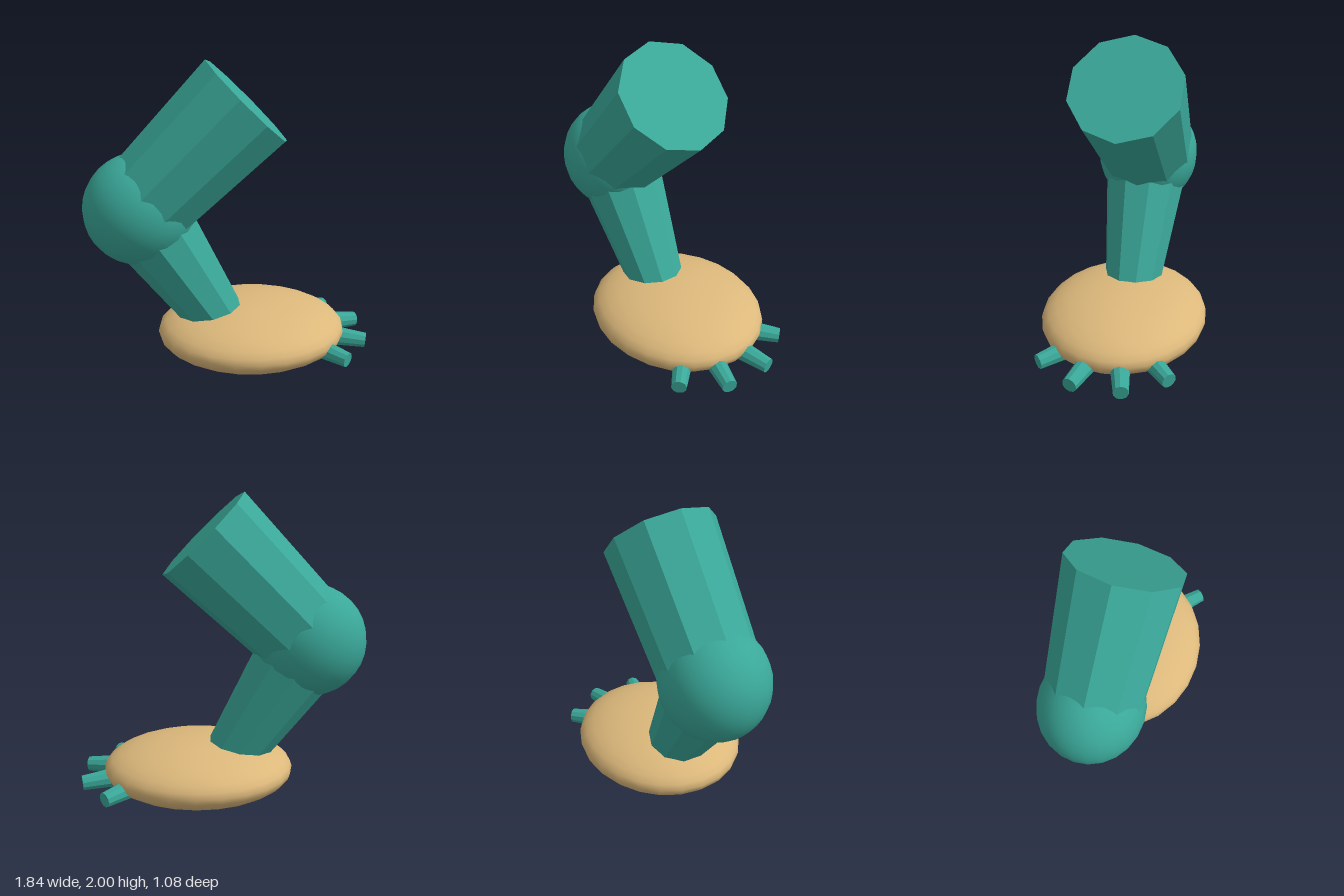
import * as THREE from 'three';

const teal = new THREE.MeshStandardMaterial({ color: 0x3aa899 });
teal.name = 'teal';
const tan = new THREE.MeshStandardMaterial({ color: 0xdcb87b });
tan.name = 'tan';

// Tapered ten-sided rod between two points; flat facets
function limb(name, from, to, rFrom, rTo, thetaStart) {
  const a = new THREE.Vector3(...from);
  const b = new THREE.Vector3(...to);
  const axis = b.clone().sub(a);
  let geo = new THREE.CylinderGeometry(rTo, rFrom, axis.length(), 10, 1, false, thetaStart);
  geo = geo.toNonIndexed();
  geo.computeVertexNormals();
  const mesh = new THREE.Mesh(geo, teal);
  mesh.name = name;
  mesh.quaternion.setFromUnitVectors(new THREE.Vector3(0, 1, 0), axis.normalize());
  mesh.position.copy(a).add(b).multiplyScalar(0.5);
  return mesh;
}

// Smooth squashed ball
function ellipsoid(name, center, radii, material) {
  const geo = new THREE.SphereGeometry(1, 24, 16);
  geo.scale(...radii);
  const mesh = new THREE.Mesh(geo, material);
  mesh.name = name;
  mesh.position.set(...center);
  return mesh;
}

export function createModel() {
  const leg = new THREE.Group();
  leg.name = 'leg';
  const knee = [-0.56, 1.067, 0];

  // Thigh, knee and shin
  leg.add(limb('thigh', knee, [0.12, 1.745, 0], 0.312, 0.363, Math.PI / 2));
  leg.add(ellipsoid('knee', knee, [0.36, 0.36, 0.338], teal));
  leg.add(limb('shin', knee, [-0.027, 0.222, 0], 0.292, 0.177, 0));

  // Flattened foot
  leg.add(ellipsoid('foot', [0.16, 0.197, 0], [0.622, 0.195, 0.54], tan));

  // Four toes fanned around the front of the foot, mirrored in z
  const toes = new THREE.Group();
  toes.name = 'toes';
  for (const side of [-1, 1]) {
    for (const [x, z, angle] of [[0.91, 0.158, 0.26], [0.733, 0.413, 0.76]]) {
      const length = 0.3;
      const base = [x - length * Math.cos(angle), 0.165, side * (z - length * Math.sin(angle))];
      toes.add(limb('toe', base, [x, 0.139, side * z], 0.07, 0.049, 0));
    }
  }
  leg.add(toes);
  return leg;
}
